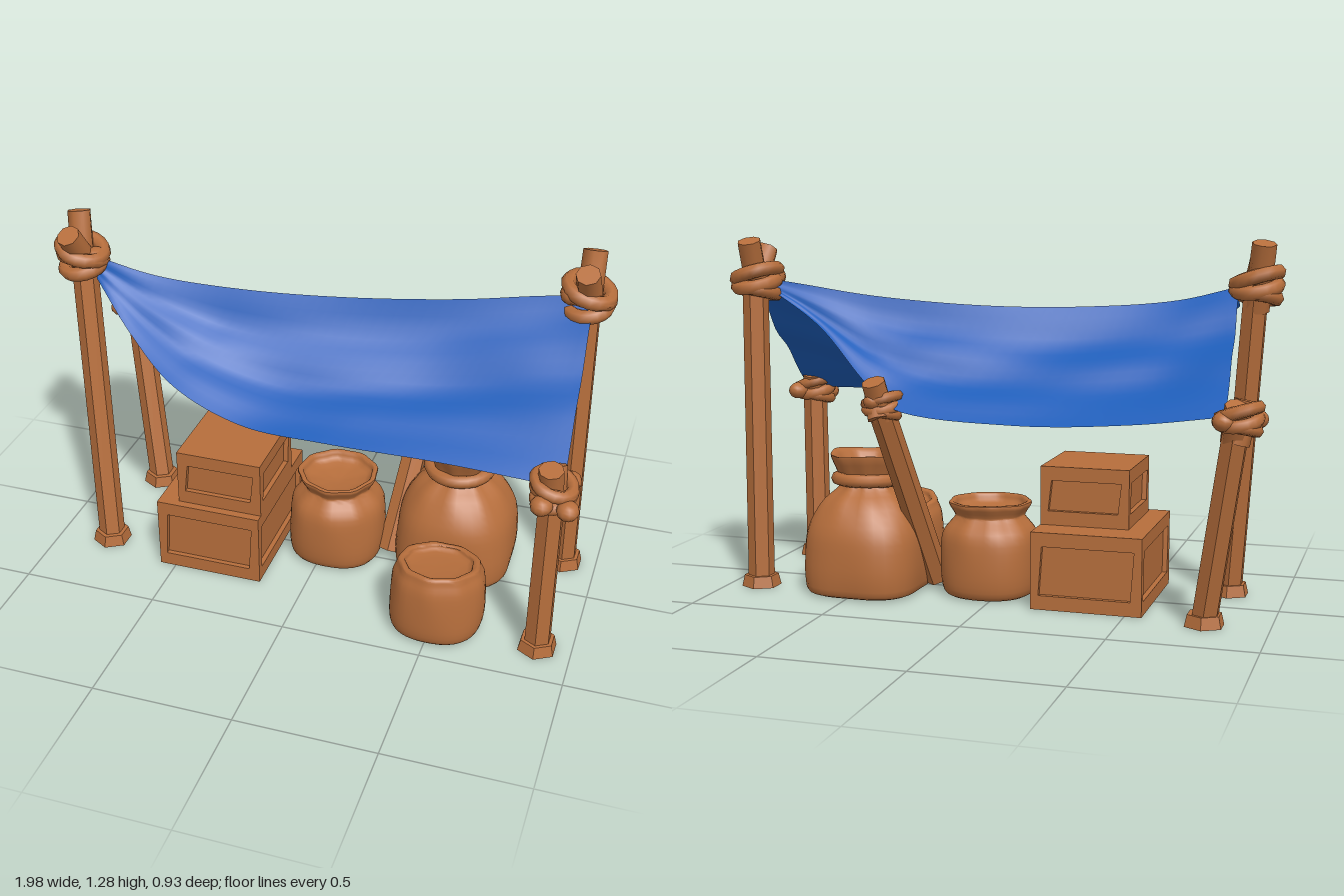
import * as THREE from 'three';
import { mergeVertices, toCreasedNormals } from 'three/addons/utils/BufferGeometryUtils.js';

const wood = new THREE.MeshStandardMaterial({ color: 0xb66e3c });
wood.name = 'warm brown';
const blue = new THREE.MeshStandardMaterial({ color: 0x1e5eba, side: THREE.DoubleSide });
blue.name = 'canvas blue';

const V = (x, y, z) => new THREE.Vector3(x, y, z);
const UP = V(0, 1, 0);

function add(parent, name, geo, mat = wood) {
  const m = new THREE.Mesh(geo, mat);
  m.name = name;
  parent.add(m);
  return m;
}

// faceted pole running between two points
function pole(parent, name, a, b, r, sides = 6, taper = 0.96) {
  const dir = b.clone().sub(a);
  const geo = toCreasedNormals(new THREE.CylinderGeometry(r * taper, r, dir.length(), sides, 1), 0.85);
  const m = add(parent, name, geo);
  m.position.copy(a).add(b).multiplyScalar(0.5);
  m.quaternion.setFromUnitVectors(UP, dir.normalize());
  return m;
}

// rope lashing: a few tilted wraps, with optional loose loops beside it
function knot(parent, p, s, loops) {
  const g = new THREE.Group();
  g.name = 'ropeKnot';
  const tilts = [[0.2, 0.12, -0.03], [-0.25, -0.1, 0.0], [0.1, -0.3, 0.03]];
  tilts.forEach(([tx, tz, y], i) => {
    const m = add(g, 'ropeWrap', new THREE.TorusGeometry(0.068 + 0.004 * i, 0.026, 7, 18));
    m.rotation.set(Math.PI / 2 + tx, tz, 0);
    m.position.y = y;
  });
  for (const [x, y, z] of loops) {
    const m = add(g, 'ropeLoop', new THREE.SphereGeometry(0.045, 10, 8));
    m.scale.set(1, 0.85, 1.1);
    m.position.set(x, y, z);
  }
  g.position.copy(p);
  g.scale.setScalar(s);
  parent.add(g);
}

// sack turned from a profile, squared near the ground, pleated at the neck, rim leaning along z
function sack(parent, name, profile, pos, { square, pleat, neckY, lean = 0 }) {
  const curve = new THREE.SplineCurve(profile.map(([r, y]) => new THREE.Vector2(r, y)));
  const pts = curve.getPoints(profile.length * 3).map(p => new THREE.Vector2(Math.max(p.x, 0), Math.max(p.y, 0)));
  let geo = new THREE.LatheGeometry(pts, 40);
  const p = geo.attributes.position;
  for (let i = 0; i < p.count; i++) {
    const x = p.getX(i), y = p.getY(i), z = p.getZ(i), a = Math.atan2(z, x);
    const near = Math.exp(-(((y - neckY) / 0.09) ** 2));
    const low = Math.max(0, 1 - y / neckY);
    const k = 1 + square * low * (0.8 - Math.cos(4 * a)) + pleat * near * Math.sin(9 * a) + 0.012 * Math.sin(3 * a + y * 12);
    const lip = y > neckY ? pleat * Math.sin(3 * a + 1) * (y - neckY) : 0;
    p.setXYZ(i, x * k, y + lip + lean * z * (y / neckY) ** 3, z * k);
  }
  geo.deleteAttribute('uv');
  geo.deleteAttribute('normal');
  geo = toCreasedNormals(mergeVertices(geo, 1e-4), 0.9);
  add(parent, name, geo).position.copy(pos);
}

// crate with a raised frame on each side
function crate(parent, name, w, h, d, x, y, z) {
  const g = new THREE.Group();
  g.name = name;
  const t = 0.018, b = 0.028;
  add(g, 'crateCore', new THREE.BoxGeometry(w - 2 * t, h, d - 2 * t));
  const frame = len => {
    const s = new THREE.Shape([[-1, -1], [1, -1], [1, 1], [-1, 1]].map(([i, j]) => new THREE.Vector2(i * len / 2, j * h / 2)));
    const iw = len / 2 - b, ih = h / 2 - b * 1.8;
    s.holes.push(new THREE.Path([[-iw, -ih], [-iw + 0.012, ih], [iw, ih], [iw - 0.012, -ih]].map(c => new THREE.Vector2(...c))));
    return new THREE.ExtrudeGeometry(s, { depth: t, bevelEnabled: false });
  };
  for (let i = 0; i < 4; i++) {
    const side = new THREE.Group();
    side.name = 'crateSide';
    add(side, 'crateFrame', frame(i % 2 ? d : w)).position.z = (i % 2 ? w : d) / 2 - t;
    side.rotation.y = i * Math.PI / 2;
    g.add(side);
  }
  g.position.set(x, y + h / 2, z);
  parent.add(g);
}

// cloth strip lofted between the ridge and a hanging edge, slackest around the middle
function sheet(parent, name, ridge, edge, dir, slack) {
  const NU = 48, NV = 16, pos = [], idx = [];
  const top = new THREE.CatmullRomCurve3(ridge), low = new THREE.CatmullRomCurve3(edge);
  for (let i = 0; i <= NU; i++) {
    const u = i / NU, a = top.getPoint(u), b = low.getPoint(u);
    for (let j = 0; j <= NV; j++) {
      const v = j / NV, p = a.clone().lerp(b, v), belly = Math.sin(Math.PI * v ** 0.8);
      const span = Math.min(1, a.distanceTo(b) / 0.4);
      const fold = 0.008 * Math.sin(v * 15 + u * 5) * (1 - v * 0.7) + 0.004 * Math.sin(u * 19 - v * 7);
      const sag = 0.025 + slack * Math.sin(Math.PI * u ** 1.4);
      p.y += span * belly * (fold - sag);
      p.z += dir * span * fold * belly;
      pos.push(p.x, p.y, p.z);
    }
  }
  for (let i = 0; i < NU; i++) for (let j = 0; j < NV; j++) {
    const a = i * (NV + 1) + j, b = a + NV + 1;
    if (dir > 0) idx.push(a, a + 1, b, b, a + 1, b + 1);
    else idx.push(a, b, a + 1, b, b + 1, a + 1);
  }
  const geo = new THREE.BufferGeometry();
  geo.setAttribute('position', new THREE.Float32BufferAttribute(pos, 3));
  geo.setIndex(idx);
  geo.computeVertexNormals();
  add(parent, name, geo, blue);
}

export function createModel() {
  const root = new THREE.Group();
  root.name = 'marketTent';

  // posts: foot, lashing point, crossed pole ends, rope size and loose loops
  const posts = [
    { name: 'tallPostLeft', foot: V(0.88, 0, -0.19), tie: V(0.88, 1.12, -0.17), top: V(0.88, 1.12, -0.185), s: 1, loops: [[-0.05, 0.02, 0.03]],
      ends: [[V(0.88, 1.07, -0.16), V(0.88, 1.27, -0.23)], [V(0.89, 1.07, -0.19), V(0.88, 1.24, -0.09)]] },
    { name: 'tallPostRight', foot: V(-0.8, 0, 0.19), tie: V(-0.89, 1.12, 0.055), top: V(-0.89, 1.12, 0.05), s: 1, loops: [[0.05, 0.0, 0]],
      ends: [[V(-0.89, 1.04, 0.06), V(-0.92, 1.27, 0)], [V(-0.88, 1.07, 0.03), V(-0.9, 1.23, 0.135)]] },
    { name: 'frontPostLeft', foot: V(0.88, 0, 0.33), tie: V(0.89, 0.67, 0.345), top: V(0.885, 0.67, 0.33), s: 0.85,
      loops: [[0.07, -0.03, 0.08], [-0.03, -0.02, 0.09], [0.05, 0, -0.08]],
      ends: [[V(0.88, 0.62, 0.335), V(0.88, 0.76, 0.37)], [V(0.89, 0.62, 0.35), V(0.88, 0.74, 0.3)]] },
    { name: 'backPostLeft', foot: V(0.25, 0.02, -0.02), tie: V(0.335, 0.71, -0.335), top: V(0.335, 0.72, -0.36), s: 0.75,
      loops: [[0.02, 0.03, -0.06], [0, -0.03, 0.08]], buried: true,
      ends: [[V(0.33, 0.67, -0.335), V(0.345, 0.8, -0.39)], [V(0.33, 0.67, -0.37), V(0.36, 0.78, -0.34)]] },
    { name: 'backPostRight', foot: V(-0.78, 0, -0.245), tie: V(-0.9, 0.72, -0.375), top: V(-0.895, 0.72, -0.37), s: 0.85,
      loops: [[-0.06, 0.0, 0.05], [0.05, 0, -0.06]],
      ends: [[V(-0.89, 0.64, -0.36), V(-0.92, 0.78, -0.345)], [V(-0.88, 0.64, -0.35), V(-0.9, 0.77, -0.41)]] },
  ];
  for (const { name, foot, tie, top, s, loops, ends, buried } of posts) {
    const g = new THREE.Group();
    g.name = name;
    pole(g, 'post', foot.clone().add(V(0, 0.015, 0)), top, 0.048);
    if (!buried) pole(g, 'postFoot', foot, foot.clone().add(V(0, 0.042, 0)), 0.072, 6, 0.86);
    for (const [a, b] of ends) pole(g, 'poleEnd', a, b, 0.044, 8);
    knot(g, tie, s, loops);
    root.add(g);
  }

  // canopy: two sheets sharing a sagging ridge
  const ridge = [V(-0.83, 1.12, 0.05), V(-0.62, 1.07, 0.03), V(-0.3, 1.045, -0.01), V(0.05, 1.045, -0.06),
    V(0.45, 1.075, -0.11), V(0.72, 1.115, -0.14), V(0.9, 1.14, -0.15)];
  sheet(root, 'canopyFront', ridge, [V(-0.83, 1.05, 0.08), V(-0.66, 0.91, 0.19), V(-0.46, 0.79, 0.295), V(-0.2, 0.7, 0.33),
    V(0.1, 0.685, 0.33), V(0.5, 0.685, 0.325), V(0.92, 0.68, 0.34)], 1, 0.06);
  sheet(root, 'canopyBack', ridge, [V(-0.86, 0.73, -0.395), V(-0.55, 0.69, -0.39), V(-0.15, 0.67, -0.385), V(0.29, 0.71, -0.375),
    V(0.42, 0.8, -0.31), V(0.62, 0.97, -0.215), V(0.85, 1.11, -0.17)], -1, 0.03);

  // stacked crates
  crate(root, 'lowerCrate', 0.395, 0.275, 0.5, -0.3625, 0, 0.03);
  crate(root, 'upperCrate', 0.32, 0.21, 0.34, -0.325, 0.275, 0.08);

  // sacks
  sack(root, 'tiedSack', [[0, 0], [0.1, 0], [0.195, 0.005], [0.215, 0.05], [0.219, 0.14], [0.208, 0.24], [0.16, 0.33],
    [0.1, 0.385], [0.1, 0.42], [0.135, 0.5], [0.115, 0.495], [0.08, 0.45], [0, 0.44]], V(0.485, 0, -0.105),
    { square: 0.08, pleat: 0.05, neckY: 0.4 });
  const tie = add(root, 'sackTie', new THREE.TorusGeometry(0.11, 0.024, 8, 28));
  tie.position.set(0.485, 0.41, -0.105);
  tie.rotation.x = Math.PI / 2 + 0.06;
  sack(root, 'openSack', [[0, 0], [0.09, 0], [0.155, 0.005], [0.175, 0.05], [0.178, 0.15], [0.168, 0.23], [0.13, 0.28],
    [0.125, 0.295], [0.148, 0.335], [0.13, 0.34], [0.11, 0.31], [0, 0.295]], V(0.04, 0, -0.03),
    { square: 0.03, pleat: 0.03, neckY: 0.29 });
  sack(root, 'smallSack', [[0, 0], [0.09, 0], [0.145, 0.005], [0.165, 0.04], [0.168, 0.12], [0.162, 0.2], [0.148, 0.238],
    [0.14, 0.258], [0.12, 0.256], [0.105, 0.235], [0, 0.23]], V(0.51, 0, 0.29),
    { square: 0.03, pleat: 0.02, neckY: 0.24, lean: 0.12 });

  return root;
}
